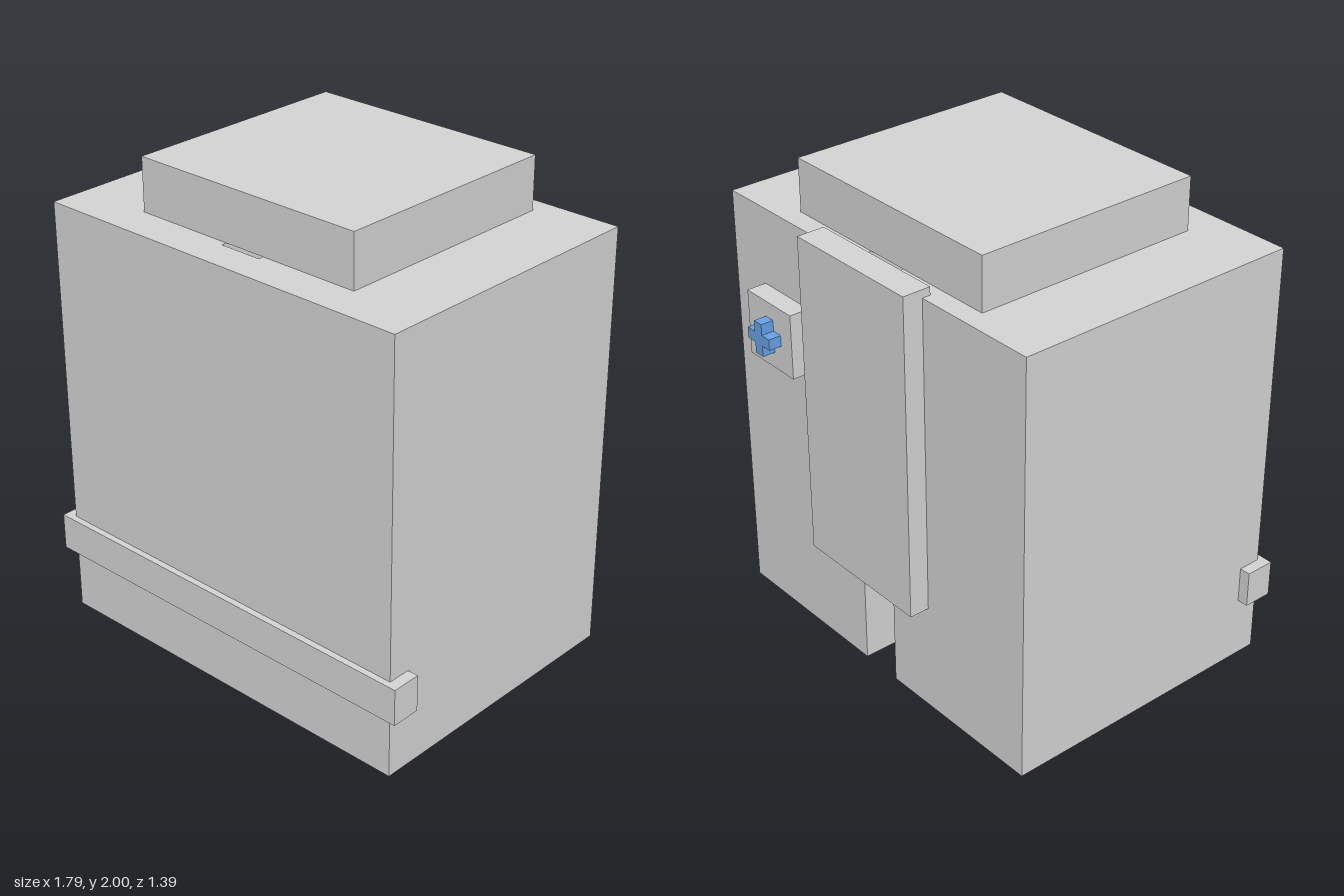
import * as THREE from 'three';

export function createModel() {
  const model = new THREE.Group();
  const grey = new THREE.MeshStandardMaterial({ color: 0xd5d5d5 });
  grey.name = 'light grey';
  const blue = new THREE.MeshStandardMaterial({ color: 0x68a2e6 });
  blue.name = 'blue';

  const add = (name, geometry, material) => {
    const mesh = new THREE.Mesh(geometry, material);
    mesh.name = name;
    model.add(mesh);
    return mesh;
  };
  // Box given by its lower and upper limits on each axis
  const box = (name, [x0, x1], [y0, y1], [z0, z1]) =>
    add(name, new THREE.BoxGeometry(x1 - x0, y1 - y0, z1 - z0), grey)
      .position.set((x0 + x1) / 2, (y0 + y1) / 2, (z0 + z1) / 2);
  const outline = (points) => new THREE.Shape(points.map(([x, y]) => new THREE.Vector2(x, y)));

  // Body: block with a full-height slot open at the back (plan drawn as x, -z)
  const plan = outline([
    [-0.847, -0.67], [0.847, -0.67], [0.847, 0.559], [0.092, 0.559],
    [0.092, -0.532], [-0.092, -0.532], [-0.092, 0.559], [-0.847, 0.559],
  ]);
  const body = new THREE.ExtrudeGeometry(plan, { depth: 1.782, bevelEnabled: false });
  body.rotateX(-Math.PI / 2);
  add('body', body, grey);

  box('cap', [-0.523, 0.523], [1.782, 2], [-0.473, 0.51]);
  box('frontBand', [-0.893, 0.893], [0.264, 0.417], [0.573, 0.697]);
  box('backPlate', [-0.307, 0.307], [0.464, 1.815], [-0.643, -0.524]);
  box('buttonPad', [0.382, 0.658], [1.187, 1.459], [-0.643, -0.55]);

  // Blue plus-shaped button on the pad
  const a = 0.069, b = 0.023;
  const plus = outline([
    [-b, -a], [b, -a], [b, -b], [a, -b], [a, b], [b, b],
    [b, a], [-b, a], [-b, b], [-a, b], [-a, -b], [-b, -b],
  ]);
  const button = new THREE.ExtrudeGeometry(plus, { depth: 0.058, bevelEnabled: false });
  add('plusButton', button, blue).position.set(0.52, 1.324, -0.697);

  return model;
}
